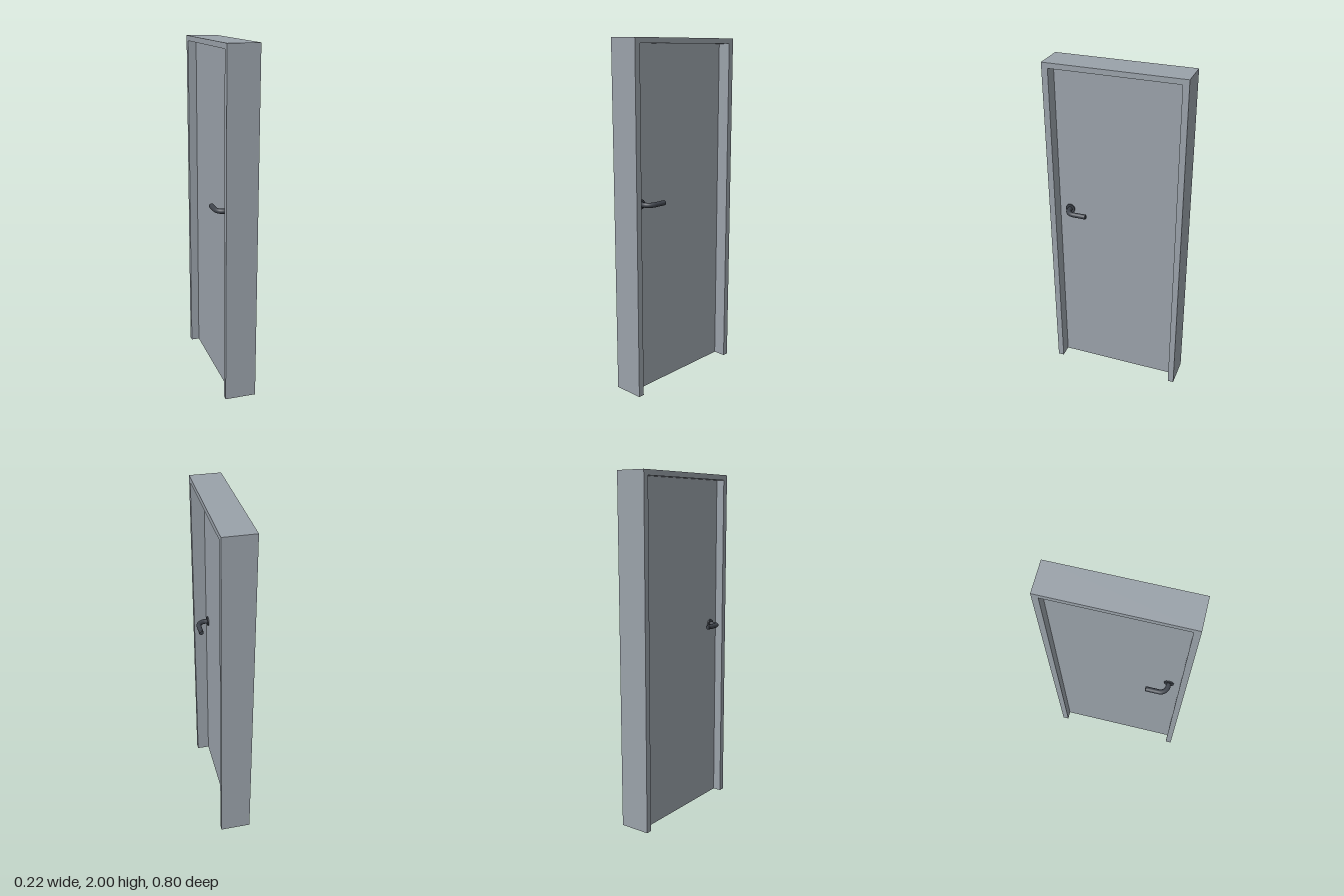
import * as THREE from 'three';

export function createModel() {
  const model = new THREE.Group();
  model.name = 'door';
  const grey = new THREE.MeshStandardMaterial({ color: 0x9aa2aa });
  grey.name = 'painted grey';
  const dark = new THREE.MeshStandardMaterial({ color: 0x3f444c });
  dark.name = 'dark metal';

  const add = (parent, name, geometry, material) => {
    const mesh = new THREE.Mesh(geometry, material);
    mesh.name = name;
    parent.add(mesh);
    return mesh;
  };

  // Frame: two jambs and a head, open at the floor
  const outer = 0.398, inner = 0.363, headY = 1.97;
  const outline = new THREE.Shape([
    [-outer, 0], [-inner, 0], [-inner, headY], [inner, headY],
    [inner, 0], [outer, 0], [outer, 2], [-outer, 2],
  ].map(([x, y]) => new THREE.Vector2(x, y)));
  const frame = new THREE.ExtrudeGeometry(outline, { depth: 0.18, bevelEnabled: false });
  frame.rotateY(Math.PI / 2).translate(-0.078, 0, 0);
  add(model, 'frame', frame, grey);

  // Door leaf, set back in the frame
  const midX = -0.001, half = 0.028;
  add(model, 'doorLeaf', new THREE.BoxGeometry(half * 2, headY, inner * 2), grey)
    .position.set(midX, headY / 2, 0);

  // Lever handle and round plate on each face
  const radius = 0.0143, bend = 0.045, k = bend * 0.5523;
  const reach = 0.095, rootZ = 0.299, tipZ = 0.179;
  for (const side of [1, -1]) {
    const handle = new THREE.Group();
    handle.name = side > 0 ? 'leftHandle' : 'rightHandle';
    handle.position.set(midX, 1.105, 0);
    model.add(handle);

    const plate = new THREE.CylinderGeometry(0.028, 0.028, 0.008, 32);
    plate.rotateZ(Math.PI / 2).translate(side * (half + 0.004), 0, rootZ);
    add(handle, 'handlePlate', plate, dark);

    const p = (x, z) => new THREE.Vector3(side * x, 0, z);
    const bendStart = p(reach - bend, rootZ), bendEnd = p(reach, rootZ - bend);
    const path = new THREE.CurvePath();
    path.add(new THREE.LineCurve3(p(half, rootZ), bendStart));
    path.add(new THREE.CubicBezierCurve3(
      bendStart, p(reach - bend + k, rootZ), p(reach, rootZ - bend + k), bendEnd));
    path.add(new THREE.LineCurve3(bendEnd, p(reach, tipZ)));
    add(handle, 'lever', new THREE.TubeGeometry(path, 48, radius, 20), dark);

    // Bevelled lever end
    const tip = new THREE.CylinderGeometry(radius - 0.003, radius, 0.004, 20);
    tip.rotateX(-Math.PI / 2).translate(side * reach, 0, tipZ - 0.002);
    add(handle, 'leverTip', tip, dark);
  }
  return model;
}
